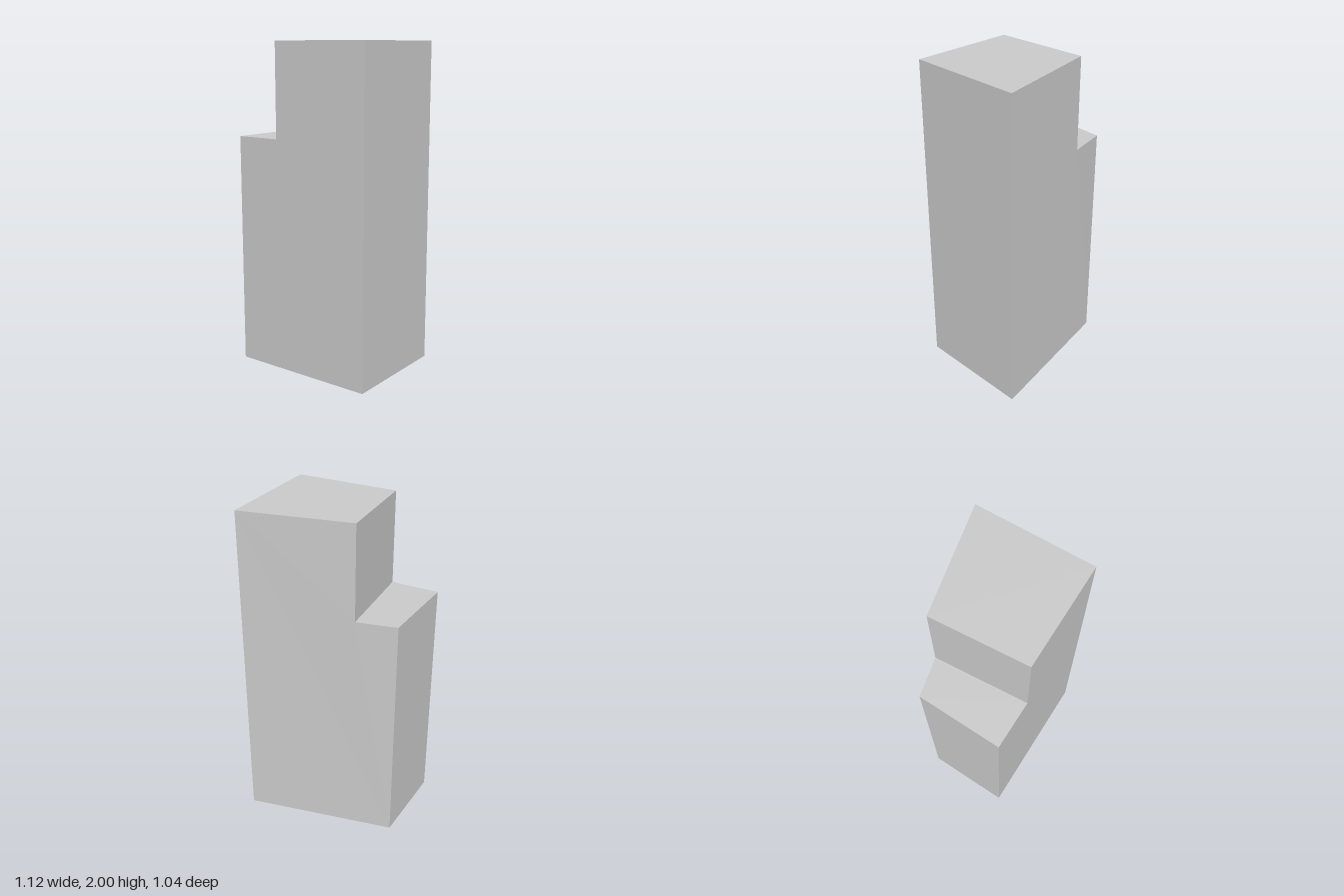
import * as THREE from 'three';

// Plan points (x, z) of the two long walls at three stations: back, step, front.
const EAST_WALL = [[-0.138, -0.523], [0.048, -0.366], [0.558, 0.077]];
const WEST_WALL = [[-0.561, -0.219], [-0.384, 0.017], [0, 0.521]];
const STEP_HEIGHT = 1.43;
const TOP_HEIGHT = 2;

export function createModel() {
  const group = new THREE.Group();
  group.name = 'building';

  // Stepped side profile: x is the station number, y the height.
  const profile = new THREE.Shape([
    [0, 0], [2, 0], [2, TOP_HEIGHT], [1, TOP_HEIGHT], [1, STEP_HEIGHT], [0, STEP_HEIGHT],
  ].map(([x, y]) => new THREE.Vector2(x, y)));
  const geometry = new THREE.ExtrudeGeometry(profile, { depth: 1, bevelEnabled: false });

  // Move each corner onto its wall, giving the irregular four-sided plan.
  const position = geometry.attributes.position;
  for (let i = 0; i < position.count; i++) {
    const wall = position.getZ(i) < 0.5 ? EAST_WALL : WEST_WALL;
    const [x, z] = wall[Math.round(position.getX(i))];
    position.setXYZ(i, x, position.getY(i), z);
  }
  geometry.computeVertexNormals();

  const material = new THREE.MeshStandardMaterial({ color: 0xcccccc, flatShading: true });
  const tower = new THREE.Mesh(geometry, material);
  tower.name = 'steppedTower';
  group.add(tower);
  return group;
}
